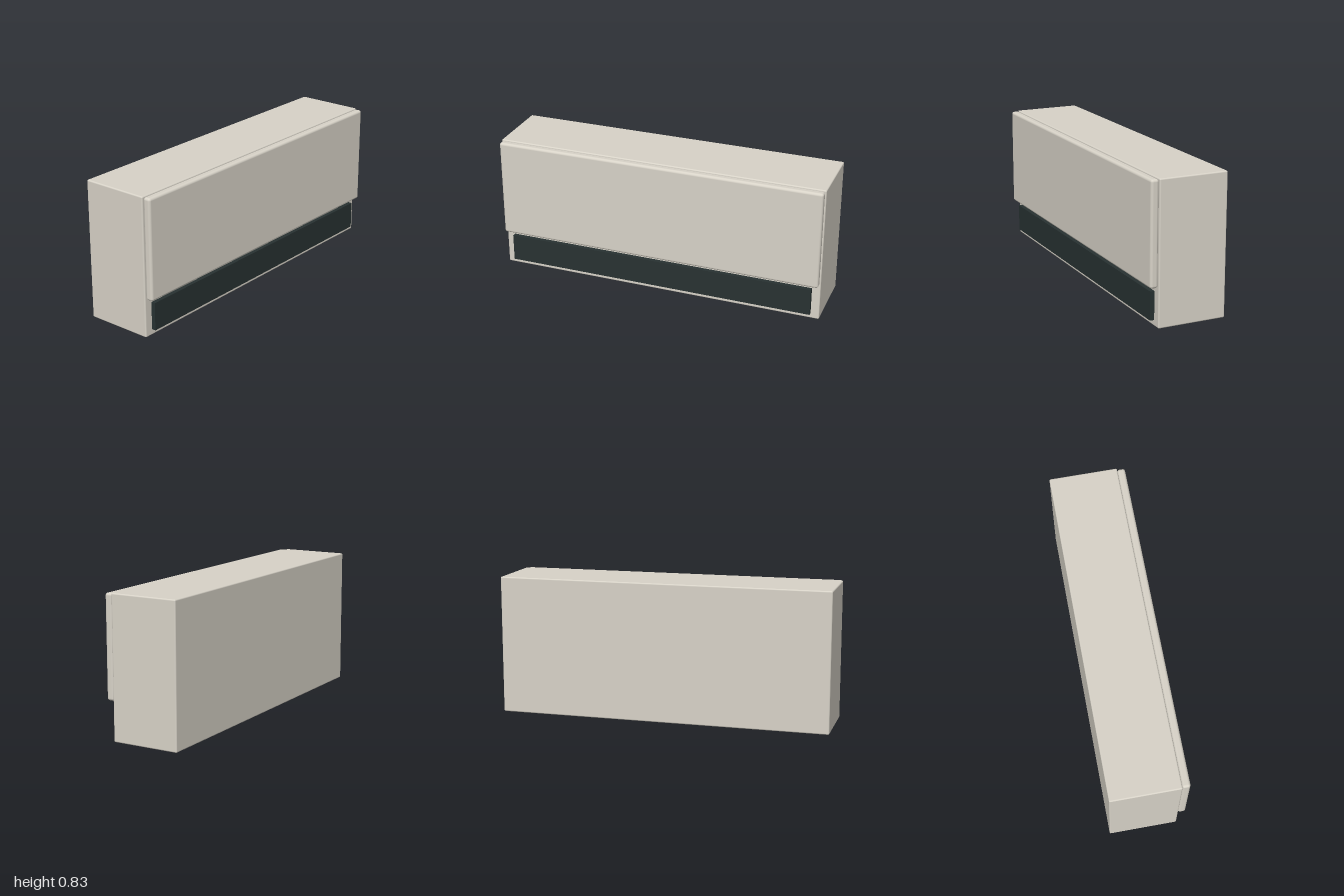
import * as THREE from 'three';
import { RoundedBoxGeometry } from 'three/addons/geometries/RoundedBoxGeometry.js';

export function createModel() {
  const group = new THREE.Group();
  const casing = new THREE.MeshStandardMaterial({ color: 0xd8d3c8 });
  casing.name = 'warm grey casing';
  const dark = new THREE.MeshStandardMaterial({ color: 0x283232 });
  dark.name = 'dark outlet';

  const add = (name, geometry, material, y, z) => {
    const mesh = new THREE.Mesh(geometry, material);
    mesh.name = name;
    mesh.position.set(0, y, z);
    group.add(mesh);
  };

  // Main housing with slightly softened edges
  add('housing', new RoundedBoxGeometry(2, 0.832, 0.41, 4, 0.008), casing, 0.416, -0.023);
  // Raised front cover with rounder edges
  add('frontPanel', new RoundedBoxGeometry(1.988, 0.6, 0.047, 5, 0.015), casing, 0.529, 0.2055);
  // Air outlet below the cover, seated in the housing
  add('airOutlet', new THREE.BoxGeometry(1.9, 0.166, 0.05), dark, 0.118, 0.182);

  return group;
}
